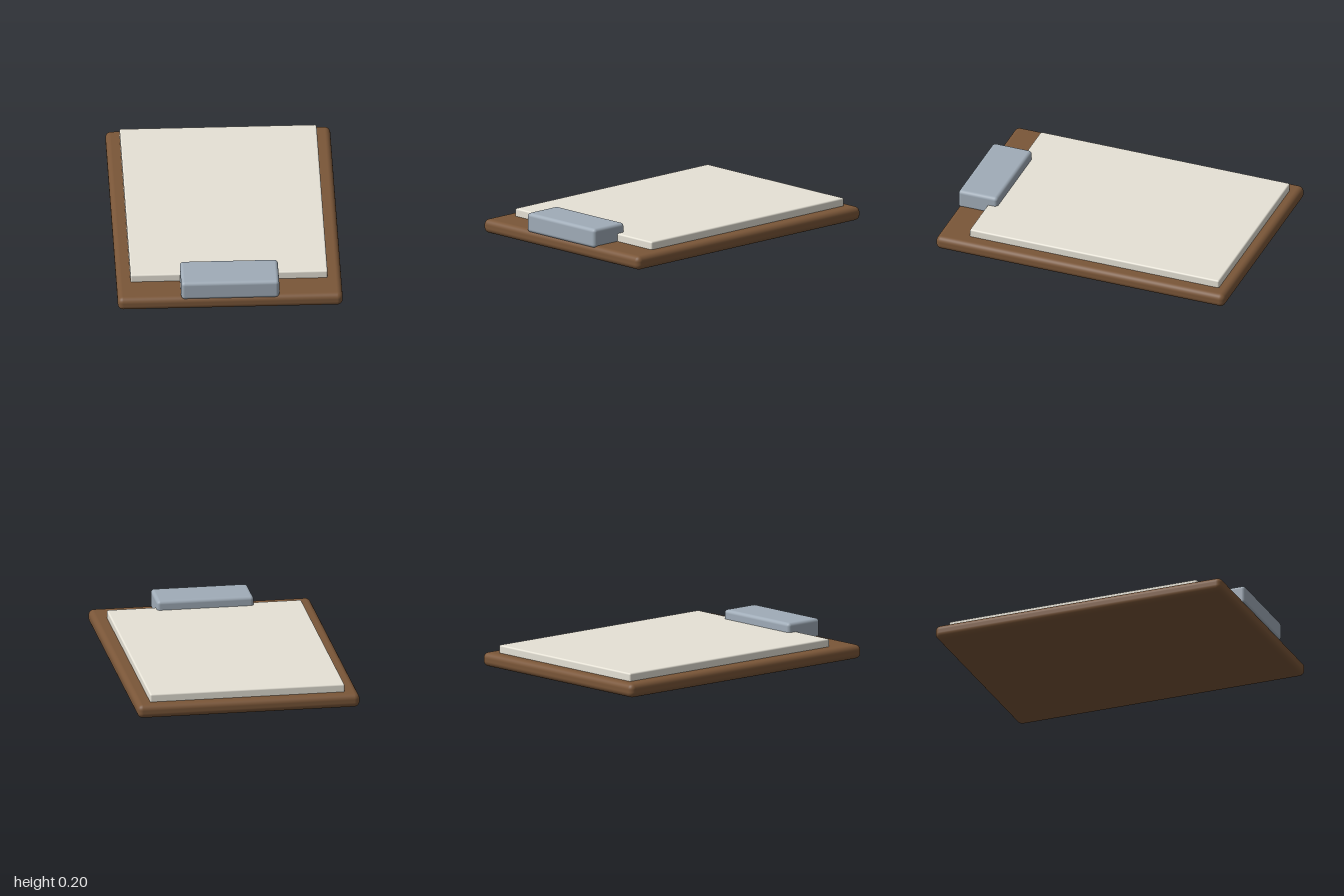
import * as THREE from 'three';
import { RoundedBoxGeometry } from 'three/addons/geometries/RoundedBoxGeometry.js';

const material = (name, color) => {
  const m = new THREE.MeshStandardMaterial({ color });
  m.name = name;
  return m;
};

// Rounded slab given by its extents along each axis
function slab(name, mat, [x0, x1], [y0, y1], [z0, z1], radius) {
  const geometry = new RoundedBoxGeometry(x1 - x0, y1 - y0, z1 - z0, 4, radius);
  const mesh = new THREE.Mesh(geometry, mat);
  mesh.name = name;
  mesh.position.set((x0 + x1) / 2, (y0 + y1) / 2, (z0 + z1) / 2);
  return mesh;
}

export function createModel() {
  const group = new THREE.Group();
  group.name = 'clipboard';

  const wood = material('brown wood', 0x7a5638);
  const paper = material('off-white paper', 0xe6e2d6);
  const metal = material('grey metal', 0xa0acb8);

  group.add(
    // Backing board
    slab('board', wood, [-0.727, 0.727], [0, 0.091], [-1, 1], 0.036),
    // Stack of sheets lying on the board
    slab('paperStack', paper, [-0.637, 0.637], [0.082, 0.143], [-0.932, 0.795], 0.011),
    // Clip flush with the front edge, gripping the sheets
    slab('clip', metal, [-0.317, 0.317], [0.076, 0.204], [0.728, 1], 0.023),
  );
  return group;
}
